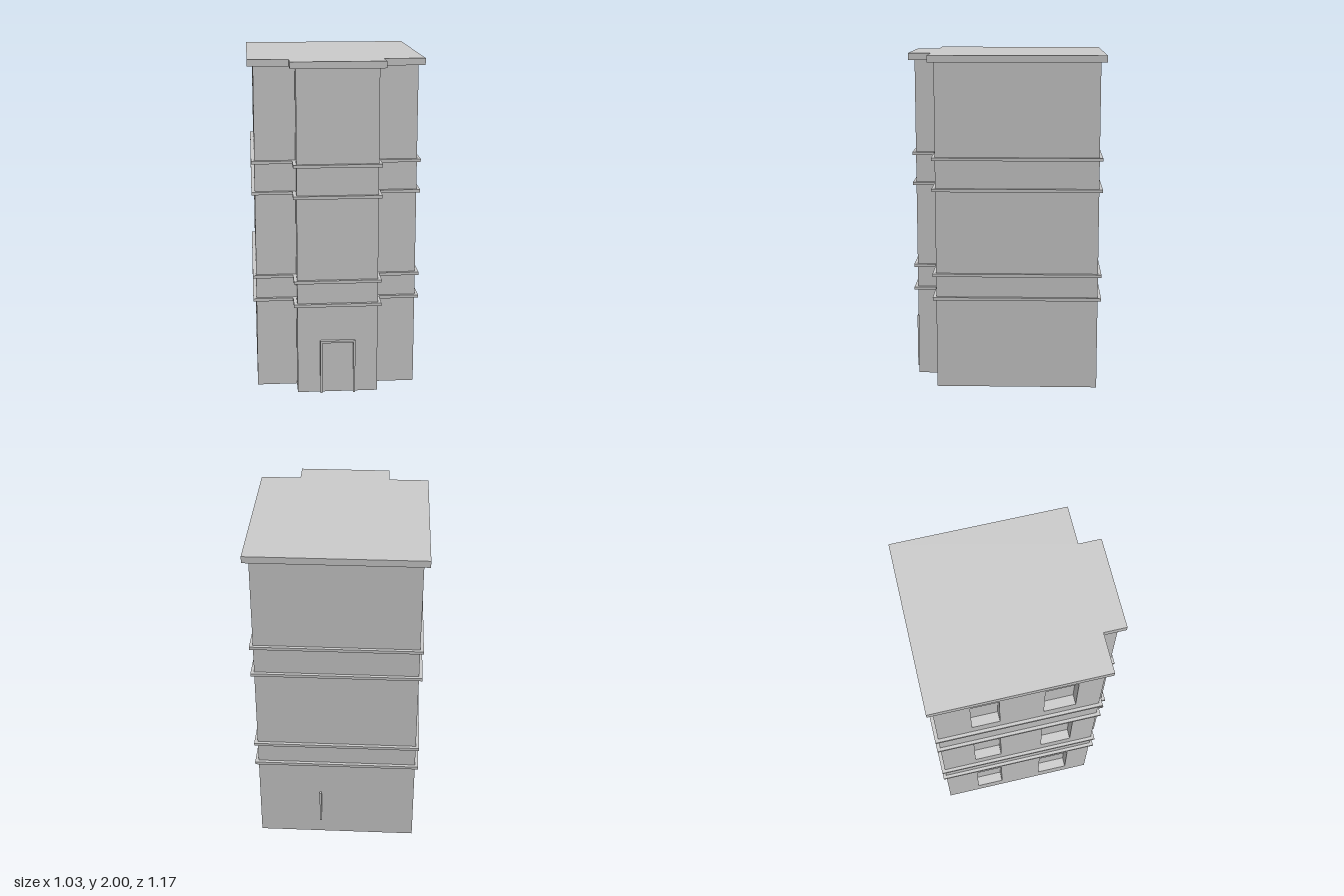
import * as THREE from 'three';

const material = new THREE.MeshStandardMaterial({ color: 0xcccccc, flatShading: true, side: THREE.DoubleSide });

// Floor plan with a projecting front bay, grown outward by o; points are [x, z].
function plan(o) {
  const w = 0.48 + o, b = 0.24 + o, front = 0.415 + o, bay = 0.55 + o, back = -0.55 - o;
  return [[-w, front], [-b, front], [-b, bay], [b, bay], [b, front], [w, front], [w, back], [-w, back]];
}

const toVectors = (points) => points.map(([x, z]) => new THREE.Vector2(x, -z));

function addMesh(parent, name, geometry, x = 0, y = 0, z = 0) {
  const mesh = new THREE.Mesh(geometry, material);
  mesh.name = name;
  mesh.position.set(x, y, z);
  parent.add(mesh);
  return mesh;
}

// Horizontal slab following the plan; with an inset it becomes an open ring.
function slab(offset, height, inset) {
  const shape = new THREE.Shape(toVectors(plan(offset)));
  if (inset !== undefined) shape.holes.push(new THREE.Path(toVectors(plan(-inset))));
  return new THREE.ExtrudeGeometry(shape, { depth: height, bevelEnabled: false }).rotateX(-Math.PI / 2);
}

// Box with its outward (+z) side left open.
function recess(w, h, d) {
  const geometry = new THREE.BoxGeometry(w, h, d);
  const index = Array.from(geometry.index.array);
  index.splice(24, 6);
  geometry.setIndex(index);
  geometry.clearGroups();
  return geometry;
}

export function createModel() {
  const model = new THREE.Group();
  model.name = 'towerBlock';
  const wallTop = 1.96;

  // Windows on the right-hand side wall: two columns on three storeys
  const windows = [];
  for (const y of [0.095, 0.785, 1.485]) {
    for (const [z0, z1] of [[-0.345, -0.18], [0.08, 0.27]]) {
      windows.push({ u: z0 + 0.55, w: z1 - z0, y, h: 0.35 });
    }
  }

  // Walls: one thin sheet per plan edge, open at the bottom
  const corners = plan(0);
  corners.forEach(([x, z], i) => {
    const [nx, nz] = corners[(i + 1) % corners.length];
    const length = Math.hypot(nx - x, nz - z);
    const wall = new THREE.Group();
    wall.name = 'wall' + (i + 1);
    wall.position.set(x, 0, z);
    wall.rotation.y = Math.atan2(z - nz, nx - x);
    const shape = new THREE.Shape([[0, 0], [length, 0], [length, wallTop], [0, wallTop]]
      .map(([u, v]) => new THREE.Vector2(u, v)));
    if (i === corners.length - 1) {
      const depth = 0.06;
      for (const { u, w, y, h } of windows) {
        shape.holes.push(new THREE.Path([[u, y], [u, y + h], [u + w, y + h], [u + w, y]]
          .map(([a, b]) => new THREE.Vector2(a, b))));
        addMesh(wall, 'windowRecess', recess(w, h, depth), u + w / 2, y + h / 2, -depth / 2);
      }
    }
    addMesh(wall, 'wallSheet', new THREE.ShapeGeometry(shape));
    model.add(wall);
  });

  // Flat roof and string courses
  addMesh(model, 'roofSlab', slab(0.035, 0.04), 0, wallTop, 0);
  for (const y of [0.545, 0.69, 1.203, 1.388]) {
    addMesh(model, 'stringCourse', slab(0.02, 0.018, 0.02), 0, y, 0);
  }

  // Door frame on the front bay
  const door = new THREE.Group();
  door.name = 'doorFrame';
  const bar = 0.012, half = 0.105, top = 0.33, deep = 0.04;
  for (const side of [-1, 1]) {
    addMesh(door, 'doorJamb', new THREE.BoxGeometry(bar, top, deep), side * (half - bar / 2), top / 2, 0.553);
  }
  addMesh(door, 'doorLintel', new THREE.BoxGeometry(2 * (half - bar), bar, deep), 0, top - bar / 2, 0.553);
  model.add(door);

  // Narrow upright strip on the back wall
  addMesh(model, 'backStrip', new THREE.BoxGeometry(0.012, 0.22, 0.04), 0.1, 0.215, -0.55);

  return model;
}
